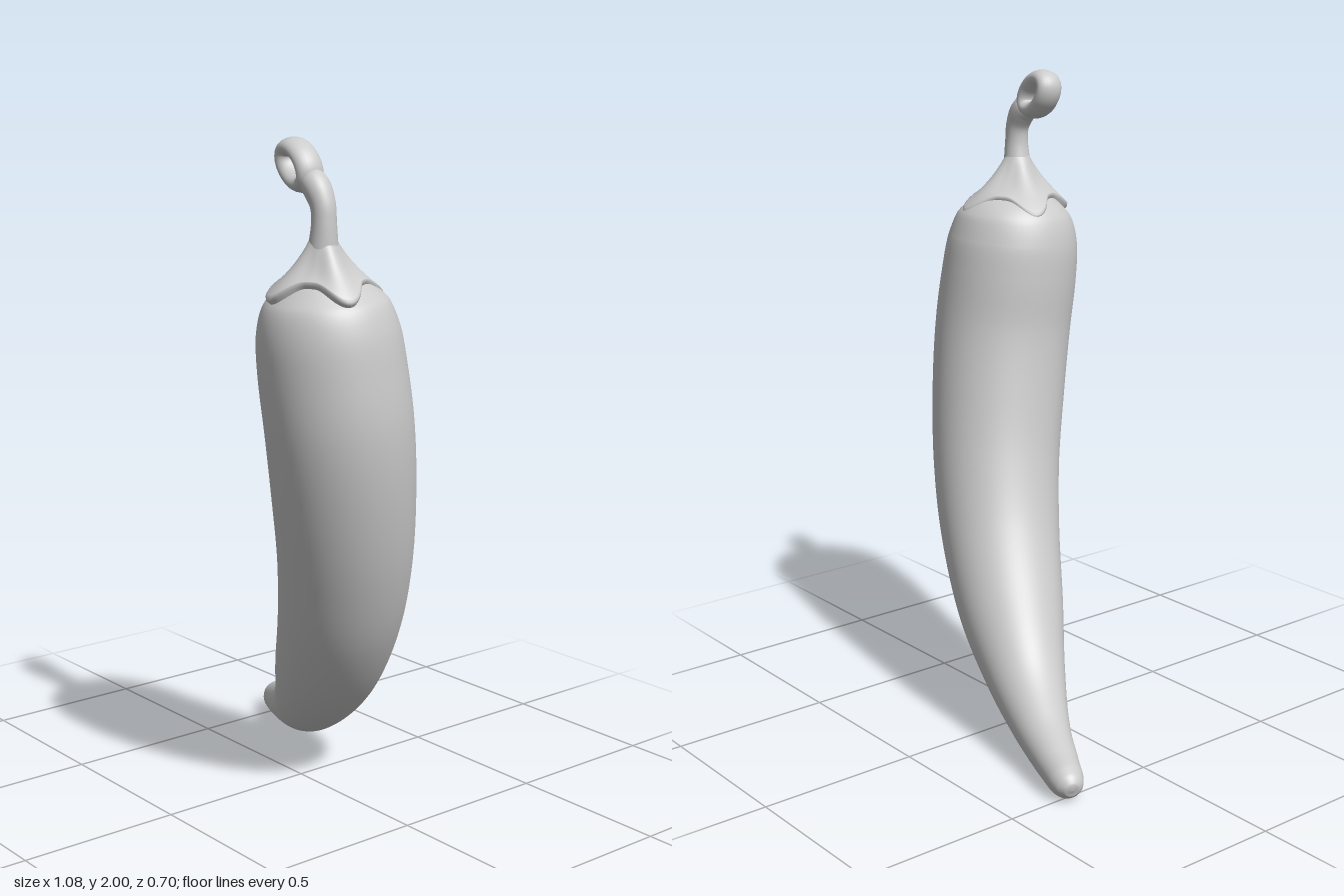
import * as THREE from 'three';

const V = (x, y, z) => new THREE.Vector3(x, y, z);
const material = new THREE.MeshStandardMaterial({ color: 0xcccccc, roughness: 0.6 });

// Skin a list of closed rings (each an array of points) with smooth normals.
function loft(name, rings) {
  const n = rings[0].length, index = [];
  for (let i = 0; i < rings.length - 1; i++) {
    for (let j = 0; j < n; j++) {
      const k = (j + 1) % n;
      const a = i * n + j, b = i * n + k, c = a + n, d = b + n;
      index.push(a, b, d, a, d, c);
    }
  }
  const geo = new THREE.BufferGeometry().setFromPoints(rings.flat());
  geo.setIndex(index);
  geo.computeVertexNormals();
  const mesh = new THREE.Mesh(geo, material);
  mesh.name = name;
  return mesh;
}

// Sweep a circle along stations [x, y, z, radius].
function sweep(name, stations, steps, sides) {
  const path = new THREE.CatmullRomCurve3(stations.map(s => V(s[0], s[1], s[2])));
  const radii = new THREE.CatmullRomCurve3(stations.map(s => V(s[3], 0, 0)), false, 'catmullrom', 0.5);
  const rings = [];
  for (let i = 0; i <= steps; i++) {
    const t = i / steps, p = path.getPoint(t), T = path.getTangent(t);
    const r = Math.max(0, radii.getPoint(t).x);
    const U = V(0, 0, 1).addScaledVector(T, -T.z).normalize();
    const W = T.clone().cross(U);
    rings.push(Array.from({ length: sides }, (_, j) => {
      const a = (j / sides) * Math.PI * 2;
      return p.clone().addScaledVector(U, r * Math.cos(a)).addScaledVector(W, r * Math.sin(a));
    }));
  }
  return loft(name, rings);
}

// Four-lobed cap that drapes over the shoulder and flares up into the stem.
function makeCalyx() {
  const sides = 96, steps = 20, rings = [];
  const shoulder = r => 1.45 + 0.18 * Math.sqrt(Math.max(0, 1 - (r / 0.21) ** 2));
  const ring = (s, inset, drop) => Array.from({ length: sides }, (_, j) => {
    const a = (j / sides) * Math.PI * 2;
    const lobe = ((1 + Math.cos(4 * (a - 0.28))) / 2) ** 1.5;
    const r = 0.038 + (0.12 + 0.055 * lobe - 0.038) * s - inset;
    const y = shoulder(r) + 0.02 + 0.08 * (1 - s) ** 2.5 - drop;
    return V(0.328 - 0.018 * s + r * Math.cos(a), y, 0.187 - 0.022 * s + r * Math.sin(a));
  });
  for (let i = 0; i <= steps; i++) rings.push(ring(i / steps, 0, 0));
  rings.push(ring(1, 0.002, 0.012), ring(1, 0.014, 0.035));
  return loft('calyx', rings);
}

// Flattened eye at the end of the stem, open through the middle.
function makeStemEye() {
  const points = Array.from({ length: 24 }, (_, i) => {
    const a = (i / 24) * Math.PI * 2;
    return V(0.063 * Math.cos(a), 0.041 * Math.sin(a), 0);
  });
  const geo = new THREE.TubeGeometry(new THREE.CatmullRomCurve3(points, true), 64, 0.026, 20, true);
  geo.scale(1, 1, 1.6);
  geo.rotateZ(-0.64);
  geo.rotateX(0.1);
  geo.rotateY(-0.15);
  const eye = new THREE.Mesh(geo, material);
  eye.name = 'stemEye';
  eye.position.set(0.225, 1.925, 0.19);
  return eye;
}

export function createModel() {
  const model = new THREE.Group();
  model.name = 'chiliPepper';

  // Curved pod, from shoulder to tip
  model.add(sweep('pod', [
    [0.305, 1.632, 0.157, 0], [0.305, 1.622, 0.157, 0.07], [0.305, 1.6, 0.157, 0.125],
    [0.305, 1.55, 0.155, 0.177], [0.308, 1.47, 0.152, 0.203], [0.314, 1.36, 0.141, 0.212],
    [0.32, 1.2, 0.12, 0.214], [0.298, 1.0, 0.083, 0.21], [0.25, 0.78, 0.036, 0.2],
    [0.17, 0.57, -0.012, 0.187], [0.035, 0.36, -0.075, 0.163], [-0.125, 0.2, -0.143, 0.12],
    [-0.29, 0.11, -0.215, 0.083], [-0.42, 0.07, -0.267, 0.063], [-0.495, 0.055, -0.297, 0.052],
    [-0.525, 0.05, -0.308, 0.04], [-0.54, 0.047, -0.314, 0.022], [-0.543, 0.046, -0.315, 0],
  ], 136, 64));

  model.add(makeCalyx());

  // Bent stem
  model.add(sweep('stem', [
    [0.325, 1.64, 0.185, 0.05], [0.33, 1.7, 0.188, 0.043], [0.335, 1.77, 0.19, 0.036],
    [0.33, 1.82, 0.19, 0.036], [0.308, 1.862, 0.191, 0.04], [0.285, 1.885, 0.192, 0.038],
    [0.272, 1.894, 0.192, 0.026], [0.268, 1.897, 0.192, 0],
  ], 56, 32));

  model.add(makeStemEye());
  return model;
}
